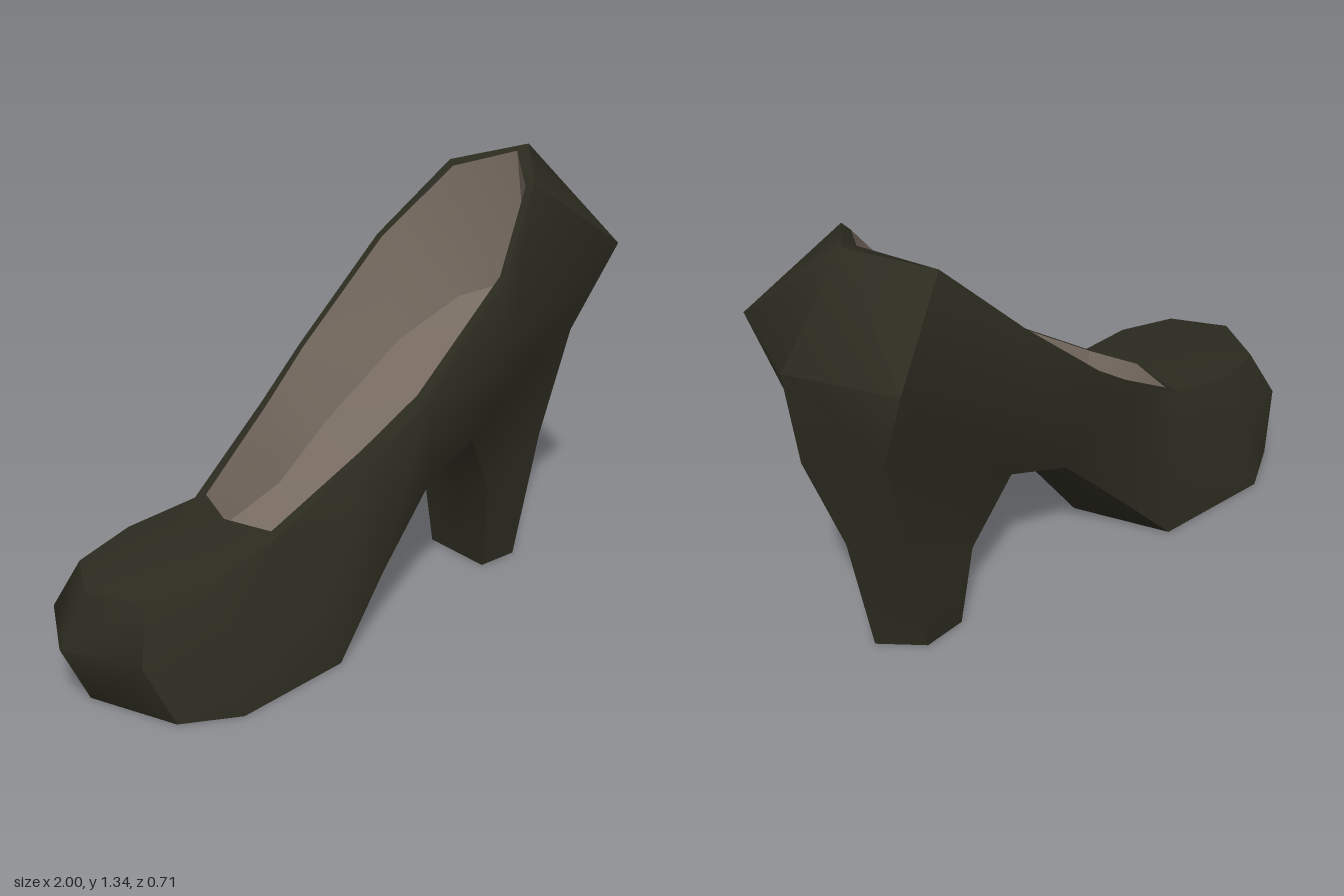
import * as THREE from 'three';
import { toCreasedNormals } from 'three/addons/utils/BufferGeometryUtils.js';

// Skins a chain of matching rows of [x, y, z] points, mirrored across z = 0
function skin(crease, ...rowPairs) {
  const pos = [];
  const same = (a, b) => a.every((v, i) => v === b[i]);
  const tri = (a, b, c) => {
    if (same(a, b) || same(b, c) || same(a, c)) return;
    if (a[2] === 0 && b[2] === 0 && c[2] === 0) return;
    const m = (p) => [p[0], p[1], -p[2]];
    pos.push(...a, ...b, ...c, ...m(a), ...m(c), ...m(b));
  };
  for (const [low, high] of rowPairs) {
    for (let i = 0; i < low.length - 1; i++) {
      tri(low[i], low[i + 1], high[i + 1]);
      tri(low[i], high[i + 1], high[i]);
    }
  }
  const g = new THREE.BufferGeometry();
  g.setAttribute('position', new THREE.Float32BufferAttribute(pos, 3));
  return toCreasedNormals(g, crease);
}

const toCentre = (row) => row.map(([x, y]) => [x, y, 0]);

export function createModel() {
  const group = new THREE.Group();
  group.name = 'highHeelShoe';
  const leather = new THREE.MeshStandardMaterial({ color: 0x2c2b20, side: THREE.DoubleSide });
  leather.name = 'dark leather';
  const lining = new THREE.MeshStandardMaterial({ color: 0x7a6e63, side: THREE.DoubleSide });
  lining.name = 'taupe lining';
  const add = (name, geometry, material) => {
    const mesh = new THREE.Mesh(geometry, material);
    mesh.name = name;
    group.add(mesh);
  };

  // Lines running from toe to heel: upper edge, side bulge and lower edge
  const top = [
    [-0.91, 0.34, 0], [-0.82, 0.34, 0.17], [-0.62, 0.365, 0.22], [-0.40, 0.405, 0.19], [-0.10, 0.615, 0.252],
    [0.08, 0.755, 0.287], [0.40, 1.05, 0.29], [0.61, 1.28, 0.185], [0.77, 1.34, 0],
  ];
  const side = [
    [-1, 0.19, 0], [-0.88, 0.19, 0.23], [-0.63, 0.22, 0.30], [-0.28, 0.22, 0.275], [-0.10, 0.58, 0.272],
    [0.08, 0.725, 0.308], [0.40, 0.83, 0.32], [0.87, 1.07, 0.303], [1, 1.07, 0],
  ];
  const bottom = [
    [-0.91, 0, 0], [-0.80, 0, 0.27], [-0.63, 0, 0.355], [-0.24, 0, 0.305], [-0.04, 0.22, 0.262],
    [0.17, 0.44, 0.23], [0.37, 0.51, 0.20], [0.82, 0.76, 0.17], [0.96, 0.77, 0],
  ];
  const toeRidge = [[-0.91, 0.34, 0], [-0.82, 0.36, 0], [-0.63, 0.40, 0], [-0.43, 0.415, 0]];
  const soleLine = toCentre(bottom.slice(0, 7));
  soleLine[3] = [-0.13, 0, 0];

  // Opening: outer rim, inner rim and insole edge
  const throat = toeRidge[3];
  const outerRim = [throat, ...top.slice(3)];
  const innerRim = [
    throat, [-0.38, 0.42, 0.16], [-0.10, 0.615, 0.225], [0.08, 0.755, 0.265],
    [0.40, 1.05, 0.265], [0.60, 1.265, 0.16], [0.72, 1.325, 0],
  ];
  const insoleEdge = [
    [-0.41, 0.29, 0], [-0.36, 0.29, 0.15], [-0.08, 0.36, 0.19], [0.12, 0.51, 0.205],
    [0.42, 0.71, 0.205], [0.63, 0.83, 0.15], [0.79, 0.90, 0],
  ];

  // Heel: three rings from the seat to the ground (front centre, front, side, back centre)
  const heelTop = [[0.37, 0.51, 0], ...bottom.slice(6)];
  const heelMid = [[0.49, 0.29, 0], [0.49, 0.29, 0.155], [0.72, 0.42, 0.15], [0.83, 0.42, 0]];
  const heelTip = [[0.51, 0, 0], [0.51, 0, 0.12], [0.65, 0, 0.12], [0.75, 0, 0]];

  const between = (a, b, ...rows) => rows.map((row) => row.slice(a, b + 1));
  const soft = 1.2;
  const firm = 0.7;

  // Toe end, toe top and rim
  add('toeCap', skin(soft, between(0, 1, side, top), between(0, 1, bottom, side)), leather);
  add('vamp', skin(soft, [top.slice(0, 4), toeRidge]), leather);
  add('rim', skin(soft, [outerRim, innerRim]), leather);
  // Side walls run down into the sides of the heel
  add('sideWalls', skin(soft, between(1, 7, side, top), between(1, 7, bottom, side),
    between(1, 2, heelMid, heelTop), between(1, 2, heelTip, heelMid)), leather);
  // Back panel runs from the rim down the back of the heel
  add('backPanel', skin(soft, between(7, 8, side, top), between(7, 8, bottom, side),
    between(2, 3, heelMid, heelTop), between(2, 3, heelTip, heelMid)), leather);
  add('heelFront', skin(soft, between(0, 1, heelMid, heelTop), between(0, 1, heelTip, heelMid)), leather);
  add('heelTip', skin(firm, [toCentre(heelTip), heelTip]), leather);
  add('sole', skin(soft, [soleLine, bottom.slice(0, 7)]), leather);
  add('insoleAndLining', skin(firm, [innerRim, insoleEdge], [insoleEdge, toCentre(insoleEdge)]), lining);
  return group;
}
